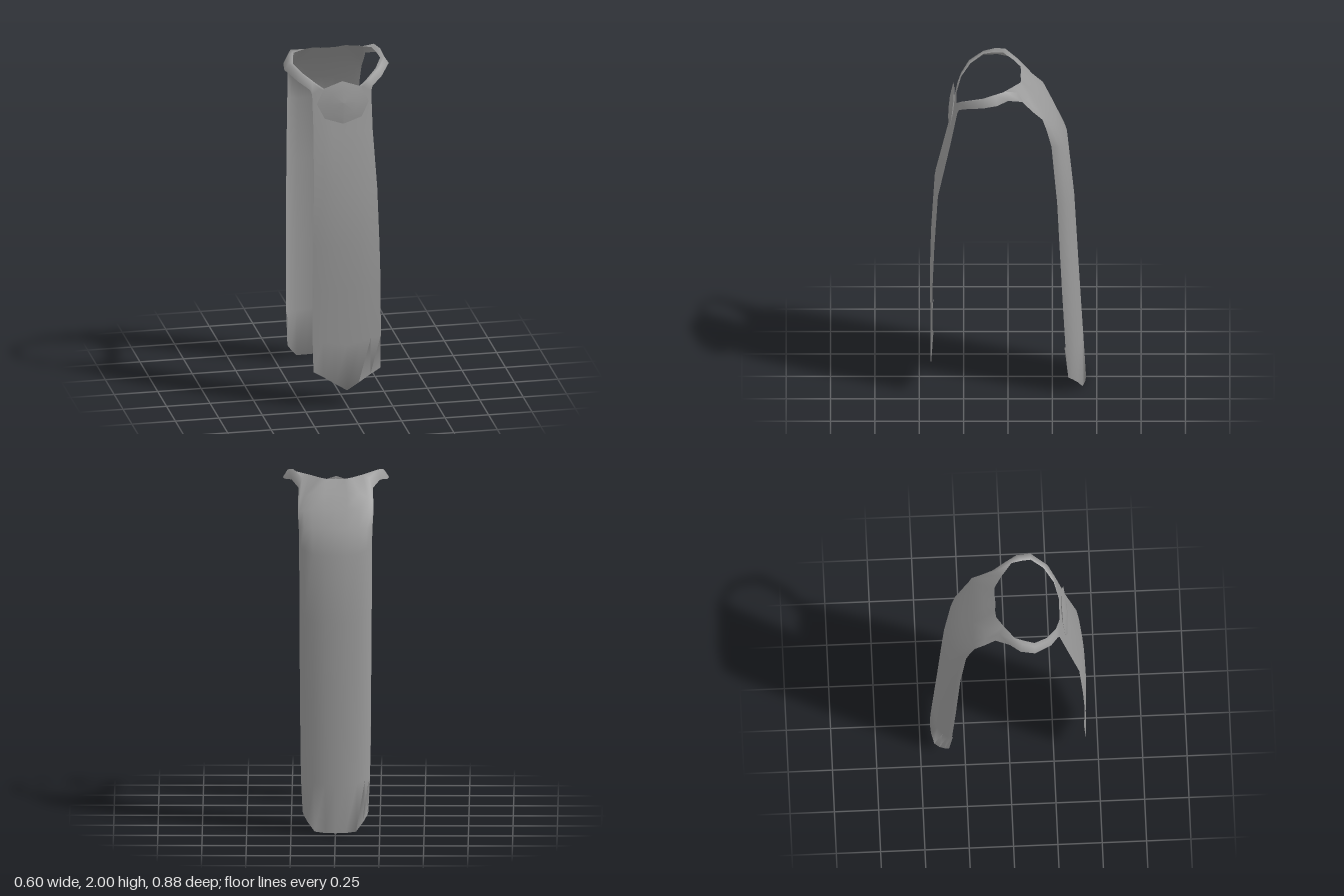
import * as THREE from 'three';
import { mergeGeometries, mergeVertices } from 'three/addons/utils/BufferGeometryUtils.js';

const mirror = ([x, y, z]) => [-x, y, z];

// Skin a grid of points: rows of equal length
function sheet(rows) {
  const n = rows[0].length, index = [];
  for (let i = 0; i < rows.length - 1; i++) {
    for (let j = 0; j < n - 1; j++) {
      const a = i * n + j, b = a + 1, d = a + n, e = d + 1;
      index.push(a, d, b, b, d, e);
    }
  }
  const geo = new THREE.BufferGeometry();
  geo.setAttribute('position', new THREE.Float32BufferAttribute(rows.flat(2), 3));
  geo.setIndex(index);
  return geo;
}

// Half a row, from the centre line to the +x edge
function halfRow([x, yC, yE, zC, zE], fx, fy, fz) {
  return fx.map((f, i) => [x * f, yC + (yE - yC) * fy[i], zC + (zE - zC) * fz[i]]);
}

// Complete a half row across the centre line, running -x to +x
const fullRow = (half) => [...half.slice(1).reverse().map(mirror), ...half];

// Turned-up hem behind the last two rows, joined to the panel along its bottom edge
function hem(rows, dz) {
  const [upper, bottom] = rows.slice(-2);
  const inner = upper.map(([x, y, z]) => [x * 0.97, y, z + dz]);
  return sheet([inner.reverse(), [...bottom].reverse()]);
}

export function createModel() {
  const group = new THREE.Group();
  const material = new THREE.MeshStandardMaterial({ color: 0x999999, side: THREE.DoubleSide });

  // Collar strip on the +x side, back to front: inner edge, ridge, outer edge
  const collar = [
    [[0.15, 1.98, -0.03], [0.19, 1.965, -0.055], [0.21, 1.915, -0.08]],
    [[0.225, 1.985, 0.03], [0.24, 2.0, 0.015], [0.25, 1.945, 0.0]],
    [[0.24, 1.975, 0.085], [0.265, 1.99, 0.07], [0.29, 1.935, 0.06]],
    [[0.25, 1.96, 0.14], [0.275, 1.965, 0.14], [0.3, 1.925, 0.14]],
    [[0.21, 1.925, 0.21], [0.23, 1.93, 0.22], [0.24, 1.885, 0.235]],
    [[0.14, 1.875, 0.265], [0.165, 1.885, 0.265], [0.18, 1.845, 0.275]],
    [[0.06, 1.82, 0.29], [0.12, 1.85, 0.285], [0.17, 1.82, 0.285]],
  ];
  const collarMirrored = collar.map((r) => r.map(mirror).reverse());

  // Front hanging panel: [half width, centre y, edge y, centre z, edge z]
  const front = [[[0, 1.79, 0.29], ...collar[6]]];
  for (const spec of [
    [0.17, 1.6, 1.6, 0.337, 0.327],
    [0.182, 1.28, 1.28, 0.415, 0.395],
    [0.191, 0.95, 0.95, 0.434, 0.415],
    [0.196, 0.7, 0.7, 0.44, 0.425],
    [0.196, 0.36, 0.4, 0.437, 0.426],
    [0.192, 0.09, 0.21, 0.437, 0.432],
  ]) front.push(halfRow(spec, [0, 0.35, 0.7, 1], [0, 0.35, 0.72, 1], [0, 0.1, 0.4, 1]));

  // Back hanging panel, curved round across its width
  const back = [[[0, 1.965, -0.07], [0.05, 1.965, -0.074], [0.09, 1.972, -0.07], ...collar[0]]];
  for (const spec of [
    [0.212, 1.9, 1.85, -0.135, -0.14],
    [0.213, 1.82, 1.8, -0.205, -0.195],
    [0.208, 1.72, 1.72, -0.265, -0.22],
    [0.205, 1.58, 1.62, -0.335, -0.245],
    [0.204, 1.2, 1.25, -0.373, -0.277],
    [0.2, 0.7, 0.7, -0.4, -0.303],
    [0.195, 0.28, 0.3, -0.424, -0.324],
    [0.185, 0, 0.1, -0.44, -0.34],
  ]) back.push(halfRow(spec, [0, 0.3, 0.63, 0.85, 0.96, 1], [0, 0, 0.05, 0.55, 0.85, 1], [0, 0.05, 0.2, 0.48, 0.76, 1]));

  // Weld the panels, hems and collar into one smooth cloth
  const frontRows = front.map(fullRow);
  const backRows = back.map((r) => fullRow(r).reverse());
  const cloth = mergeVertices(mergeGeometries([
    sheet(frontRows),
    hem(frontRows, -0.006),
    sheet(backRows),
    hem(backRows, 0.006),
    sheet(collar),
    sheet(collarMirrored),
  ]), 1e-4);
  cloth.computeVertexNormals();
  const stole = new THREE.Mesh(cloth, material);
  stole.name = 'stole';
  group.add(stole);

  // Eight-sided clasp at the throat: two shallow domes, leaning back
  const dome = new THREE.LatheGeometry(
    [[1, 0], [0.6, 0.009], [0, 0.014]].map(([r, h]) => new THREE.Vector2(r, h)), 8);
  dome.rotateX(Math.PI / 2);
  dome.scale(0.15, 0.123, 1);
  // Soften the dome's shading to follow its shallow curve
  dome.computeVertexNormals();
  const clasp = new THREE.Group();
  clasp.name = 'clasp';
  for (const [name, turn] of [['claspFront', 0], ['claspBack', Math.PI]]) {
    const half = new THREE.Mesh(dome, material);
    half.name = name;
    half.rotation.y = turn;
    clasp.add(half);
  }
  clasp.position.set(0, 1.773, 0.319);
  clasp.rotation.x = -0.13;
  group.add(clasp);

  return group;
}
